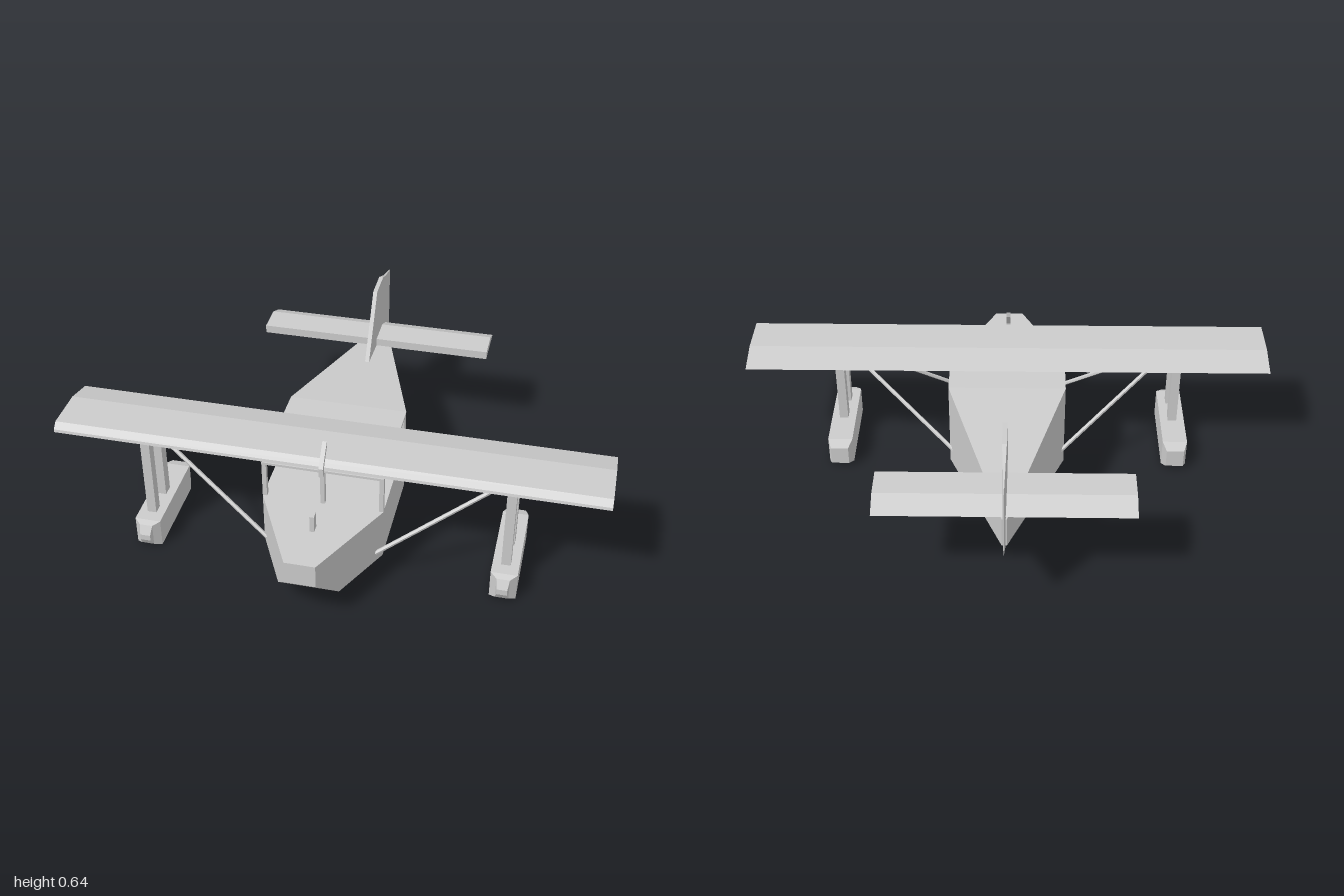
import * as THREE from 'three';

const material = new THREE.MeshStandardMaterial({ color: 0xcccccc, flatShading: true });

function add(parent, name, geometry) {
  const mesh = new THREE.Mesh(geometry, material);
  mesh.name = name;
  parent.add(mesh);
  return mesh;
}

// Box given by its centre x, width, and its y and z ranges
function box(parent, name, x, w, y0, y1, z0, z1) {
  add(parent, name, new THREE.BoxGeometry(w, y1 - y0, z1 - z0))
    .position.set(x, (y0 + y1) / 2, (z0 + z1) / 2);
}

// Closed skin over rectangular sections [z, halfWidth, bottom, top], front to back
function loft(sections) {
  const pos = [], idx = [];
  for (const [z, w, b, t] of sections) pos.push(-w, b, z, w, b, z, w, t, z, -w, t, z);
  for (let s = 0; s < sections.length - 1; s++) {
    for (let i = 0; i < 4; i++) {
      const j = (i + 1) % 4, a = s * 4, c = a + 4;
      idx.push(a + i, c + i, c + j, a + i, c + j, a + j);
    }
  }
  const e = (sections.length - 1) * 4;
  idx.push(0, 1, 2, 0, 2, 3, e, e + 2, e + 1, e, e + 3, e + 2);
  const g = new THREE.BufferGeometry();
  g.setAttribute('position', new THREE.Float32BufferAttribute(pos, 3));
  g.setIndex(idx);
  const flat = g.toNonIndexed();
  flat.computeVertexNormals();
  return flat;
}

// Side profile of [z, y] points, extruded along x and centred on x = 0
function profile(points, width) {
  const shape = new THREE.Shape(points.map(([z, y]) => new THREE.Vector2(z, y)));
  const g = new THREE.ExtrudeGeometry(shape, { depth: width, bevelEnabled: false });
  return g.translate(0, 0, -width / 2).rotateY(-Math.PI / 2);
}

// Thin rod between two points
function rod(parent, name, from, to, radius) {
  const a = new THREE.Vector3(...from), b = new THREE.Vector3(...to);
  const mesh = add(parent, name, new THREE.CylinderGeometry(radius, radius, a.distanceTo(b), 6));
  mesh.position.copy(a).add(b).multiplyScalar(0.5);
  mesh.quaternion.setFromUnitVectors(new THREE.Vector3(0, 1, 0), b.sub(a).normalize());
}

export function createModel() {
  const plane = new THREE.Group();
  plane.name = 'seaplane';

  // Boat hull: bow and cockpit floor, then the full-height tapering tail
  add(plane, 'bowHull', loft([
    [0.76, 0.055, 0.2, 0.29], [0.65, 0.11, 0.09, 0.29],
    [0.43, 0.22, 0.09, 0.29], [0.05, 0.22, 0.09, 0.29],
  ]));
  add(plane, 'rearFuselage', loft([
    [0.05, 0.22, 0.09, 0.437], [0.02, 0.22, 0.09, 0.437], [-0.65, 0.009, 0.26, 0.38],
  ]));

  // Open cabin: roof and window pillars
  box(plane, 'cabinRoof', 0, 0.44, 0.428, 0.437, 0.05, 0.43);
  for (const side of [-1, 1]) {
    box(plane, 'frontPillar', side * 0.212, 0.016, 0.29, 0.43, 0.412, 0.43);
    box(plane, 'sidePillar', side * 0.212, 0.016, 0.29, 0.43, 0.21, 0.243);
  }

  // Main wing
  add(plane, 'wing', profile([
    [0.425, 0.437], [0.422, 0.447], [0.4, 0.468], [0.24, 0.468], [0.125, 0.438],
  ], 2));

  // Centre windscreen post with its raked tip, and the small bow post
  box(plane, 'centrePost', 0, 0.016, 0.29, 0.44, 0.412, 0.43);
  add(plane, 'rakedMast', profile([
    [0.452, 0.425], [0.452, 0.46], [0.388, 0.535], [0.388, 0.513], [0.436, 0.453], [0.43, 0.425],
  ], 0.016));
  box(plane, 'bowPost', 0, 0.016, 0.29, 0.355, 0.555, 0.587);

  // Fin, thinning towards its trailing edge
  const fin = profile([
    [-0.31, 0.4], [-0.46, 0.645], [-0.575, 0.645], [-0.65, 0.612],
    [-0.757, 0.58], [-0.757, 0.315], [-0.65, 0.26], [-0.575, 0.3],
  ], 0.016);
  const p = fin.attributes.position;
  for (let i = 0; i < p.count; i++) {
    const k = THREE.MathUtils.clamp((p.getZ(i) + 0.757) / 0.182, 0.08, 1);
    p.setX(i, p.getX(i) * k);
  }
  fin.computeVertexNormals();
  add(plane, 'fin', fin);

  // Tailplane
  add(plane, 'tailplane', profile([
    [-0.46, 0.394], [-0.46, 0.426], [-0.573, 0.426], [-0.65, 0.39],
  ], 0.905));

  for (const side of [-1, 1]) {
    // Float with blunt tapered ends
    const floatGroup = new THREE.Group();
    floatGroup.name = side > 0 ? 'leftFloat' : 'rightFloat';
    floatGroup.position.x = side * 0.662;
    add(floatGroup, 'float', loft([
      [0.495, 0.019, 0.045, 0.068], [0.477, 0.024, 0.015, 0.102], [0.455, 0.048, 0, 0.11],
      [0.117, 0.048, 0, 0.11], [0.075, 0.034, 0.022, 0.095],
    ]));
    // Float struts
    box(floatGroup, 'frontStrut', 0, 0.034, 0.105, 0.44, 0.37, 0.408);
    box(floatGroup, 'rearStrut', 0, 0.034, 0.105, 0.44, 0.255, 0.298);
    box(floatGroup, 'strutBracket', 0, 0.05, 0.405, 0.438, 0.255, 0.298);
    plane.add(floatGroup);

    // Wing braces down to the hull
    rod(plane, 'frontBrace', [side * 0.2, 0.125, 0.465], [side * 0.645, 0.42, 0.322], 0.008);
    rod(plane, 'rearBrace', [side * 0.2, 0.155, -0.01], [side * 0.645, 0.42, 0.325], 0.008);
  }

  return plane;
}
